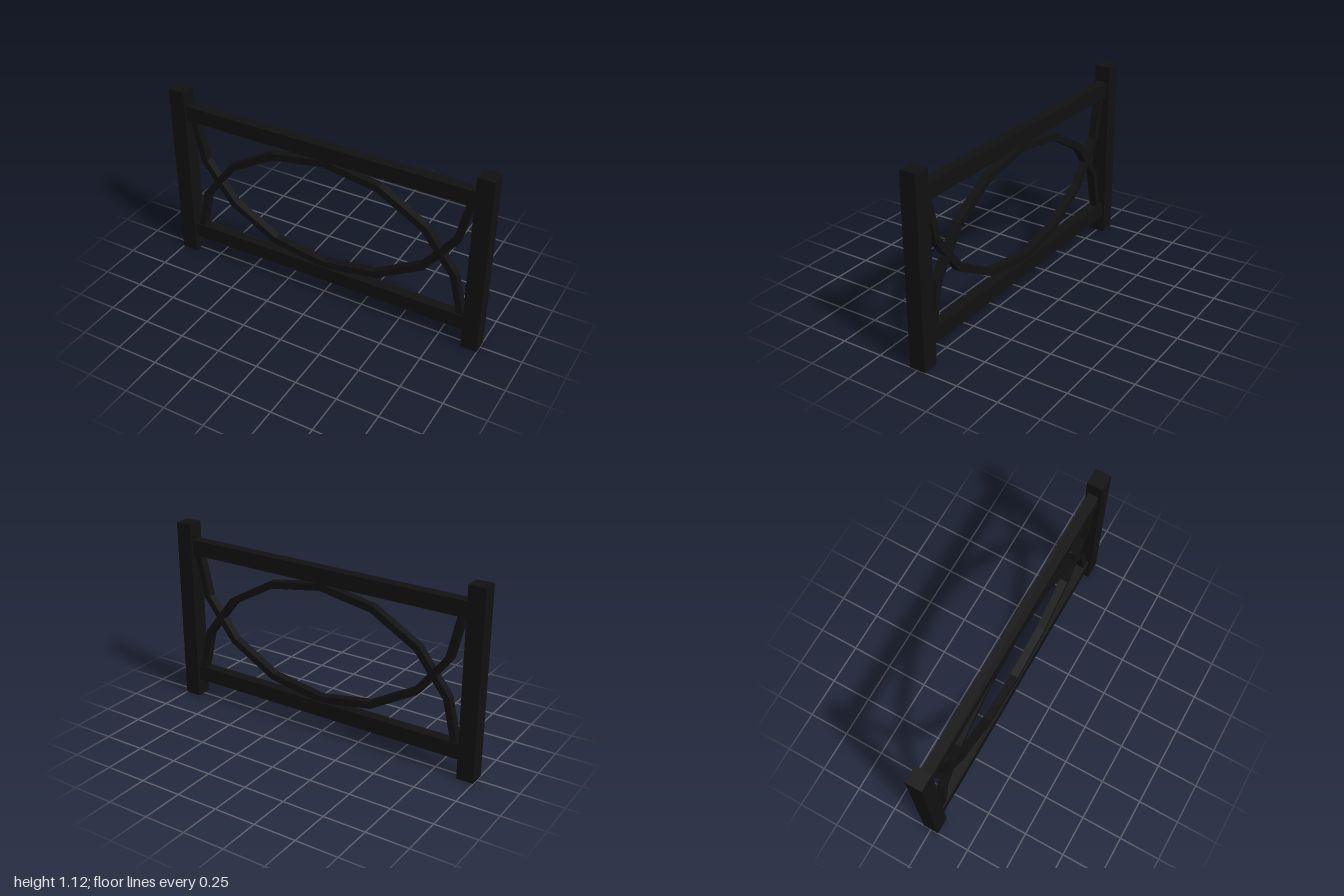
import * as THREE from 'three';

export function createModel() {
  const group = new THREE.Group();
  const mat = new THREE.MeshStandardMaterial({ color: 0x111111, flatShading: true });
  const add = (name, geo, x, y) => {
    const mesh = new THREE.Mesh(geo, mat);
    mesh.name = name;
    mesh.position.set(x, y, 0);
    group.add(mesh);
  };

  // Square end posts
  add('leftPost', new THREE.BoxGeometry(0.1, 1.12, 0.096), 0.95, 0.56);
  add('rightPost', new THREE.BoxGeometry(0.1, 1.12, 0.096), -0.95, 0.56);

  // Horizontal rails between the posts
  add('topRail', new THREE.BoxGeometry(1.8, 0.092, 0.064), 0, 0.977);
  add('bottomRail', new THREE.BoxGeometry(1.8, 0.092, 0.064), 0, 0.154);

  // Faceted half-ellipse band in eight segments; dir -1 hangs it upside down
  const archBand = (dir) => {
    const ring = (a, b) => Array.from({ length: 9 }, (_, i) => {
      const t = (Math.PI * i) / 8;
      return new THREE.Vector2(a * Math.cos(t), dir * b * Math.sin(t));
    });
    const shape = new THREE.Shape([...ring(0.895, 0.775), ...ring(0.855, 0.732).reverse()]);
    const geo = new THREE.ExtrudeGeometry(shape, { depth: 0.048, bevelEnabled: false });
    return geo.translate(0, 0, -0.024);
  };
  add('upperArch', archBand(1), 0.005, 0.155);
  add('lowerArch', archBand(-1), 0.005, 0.967);

  return group;
}
